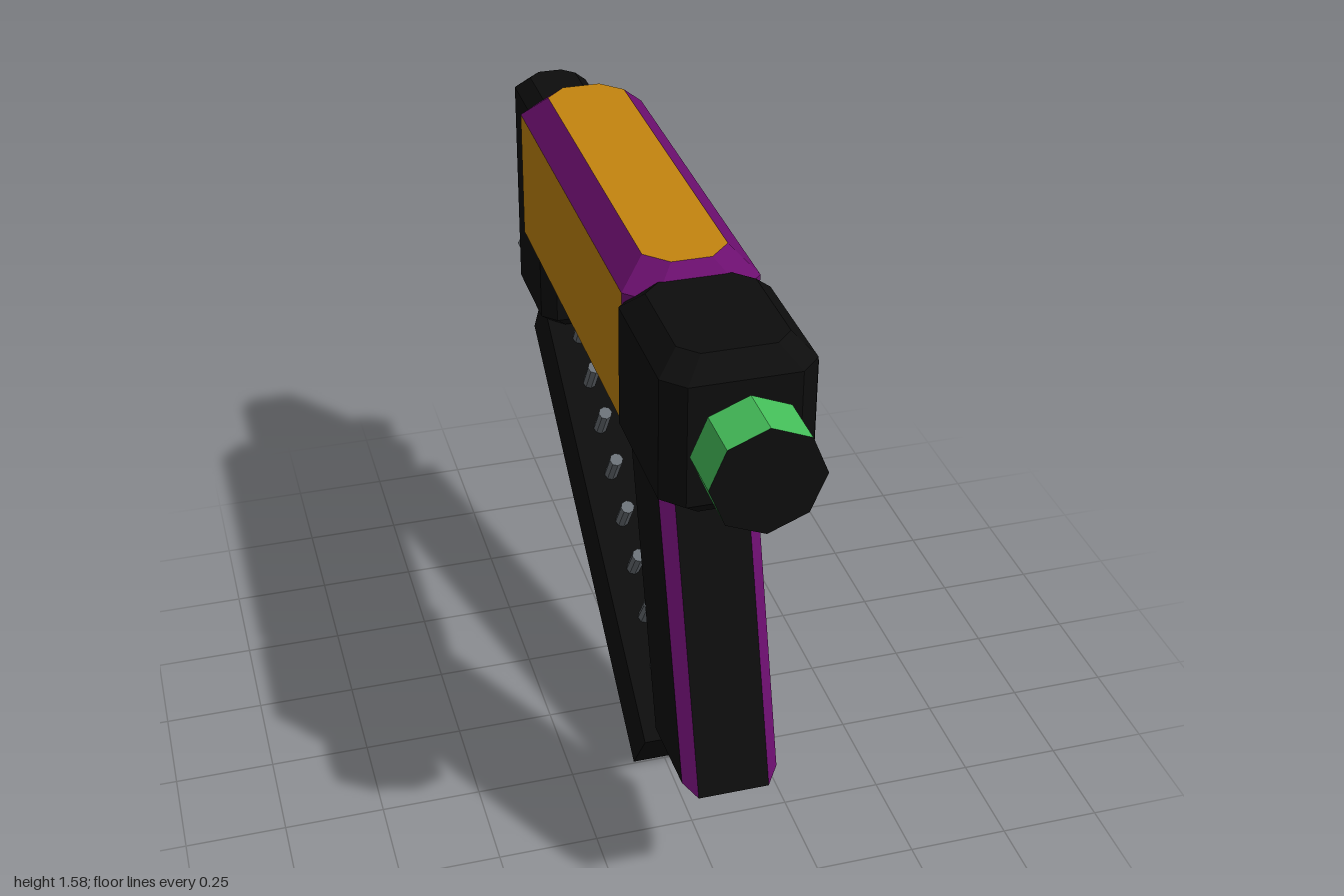
import * as THREE from 'three';

const material = (name, color) => {
  const m = new THREE.MeshStandardMaterial({ color });
  m.name = name;
  return m;
};

// Skin a stack of equal-sized rings with flat faces and capped ends.
// isEdge(band, side) picks the second material; caps use the first.
function loft(rings, isEdge = () => false) {
  const lists = [[], []];
  const face = (list, pts) => {
    for (let i = 1; i < pts.length - 1; i++) {
      for (const p of [pts[0], pts[i], pts[i + 1]]) list.push(...p);
    }
  };
  for (let b = 0; b < rings.length - 1; b++) {
    const lo = rings[b], up = rings[b + 1], n = lo.length;
    for (let i = 0; i < n; i++) {
      const j = (i + 1) % n;
      face(lists[isEdge(b, i) ? 1 : 0], [lo[i], up[i], up[j], lo[j]]);
    }
  }
  face(lists[0], rings[0]);
  face(lists[0], [...rings[rings.length - 1]].reverse());
  const geo = new THREE.BufferGeometry();
  geo.setAttribute('position', new THREE.Float32BufferAttribute([...lists[0], ...lists[1]], 3));
  geo.addGroup(0, lists[0].length / 3, 0);
  geo.addGroup(lists[0].length / 3, lists[1].length / 3, 1);
  geo.computeVertexNormals();
  return geo;
}

// Octagonal outline at height y: half sizes hx, hz and corner cut c
const octagon = (y, hx, hz, c) => [
  [hx, y, -hz + c], [hx, y, hz - c], [hx - c, y, hz], [-hx + c, y, hz],
  [-hx, y, hz - c], [-hx, y, -hz + c], [-hx + c, y, -hz], [hx - c, y, -hz],
];

// Box with every edge chamfered by c
function chamferBox(w, h, d, c) {
  const x = w / 2, y = h / 2, z = d / 2;
  return loft([
    octagon(-y, x - c, z - c, c * 0.85),
    octagon(-y + c, x, z, c),
    octagon(y - c, x, z, c),
    octagon(y, x - c, z - c, c * 0.85),
  ], (band, side) => band !== 1 || side % 2 === 1);
}

export function createModel() {
  const orange = material('orange', 0xc4850f);
  const purple = material('purple', 0x6b0f6e);
  const black = material('black', 0x0d0d0d);
  const green = material('green', 0x45bf5a);
  const grey = material('grey', 0x6a7076);

  const model = new THREE.Group();
  model.name = 'toyBlaster';
  const core = new THREE.Group();
  core.name = 'core';
  core.position.x = -0.0075;
  model.add(core);

  const add = (name, geo, mat, x, y, z, parent = core) => {
    const mesh = new THREE.Mesh(geo, mat);
    mesh.name = name;
    mesh.position.set(x, y, z);
    parent.add(mesh);
    return mesh;
  };
  const box = (w, h, d) => new THREE.BoxGeometry(w, h, d);
  const prism = (r, l, sides, turn = 0) =>
    new THREE.CylinderGeometry(r, r, l, sides).toNonIndexed().rotateY(turn).rotateX(Math.PI / 2);
  const flat = (geo) => { geo.computeVertexNormals(); return geo; };

  // Main body and front shroud
  add('body', chamferBox(0.316, 0.45, 1.09, 0.06), [orange, purple], 0, 1.365, -0.035);
  add('frontShroud', chamferBox(0.345, 0.39, 0.41, 0.048), [black, black], 0, 1.365, 0.635);
  for (let i = 0; i < 4; i++) {
    add('shroudRib', box(0.02, 0.25, 0.042), black, 0.172, 1.365, 0.455 + i * 0.098);
  }

  // Muzzle ring: green sides with dark ends
  const ring = new THREE.CylinderGeometry(0.128, 0.128, 0.13, 8).rotateX(Math.PI / 2);
  const ringFlat = ring.toNonIndexed();
  ring.groups.forEach((g) => ringFlat.addGroup(g.start, g.count, g.materialIndex));
  add('muzzleRing', flat(ringFlat), [green, black, black], 0, 1.365, 0.935);

  // Grip: slanted block whose side faces have a bevelled border
  const gripRing = (x, su, sv) => [[1, -1], [-1, -1], [-1, 1], [1, 1]].map(([u, v]) => [
    x, 0.01 * u * su - 0.37 * v * sv, 0.1375 * u * su + 0.1175 * v * sv,
  ]);
  const grip = loft([
    gripRing(-0.115, 0.8, 0.93), gripRing(-0.085, 1, 1),
    gripRing(0.085, 1, 1), gripRing(0.115, 0.8, 0.93),
  ], (band) => band !== 1);
  add('grip', grip, [black, purple], 0, 0.761, 0.589);

  // Trigger and guard
  add('guardBar', box(0.07, 0.035, 0.36), black, 0, 0.947, 0.25);
  add('guardPost', box(0.07, 0.21, 0.035), black, 0, 1.035, 0.0875);
  add('trigger', box(0.03, 0.14, 0.036), grey, 0, 1.036, 0.335);

  // Rear upright and hinge bolt
  add('stockUpright', chamferBox(0.195, 0.64, 0.32, 0.036), [black, black], 0, 1.17, -0.74);
  add('hingeBolt', flat(prism(0.075, 0.14, 6, Math.PI / 6 + Math.PI / 3)), grey, 0, 0.915, -0.93);

  // Folding arm: local +z runs down to the front end, pegs rise along local +y
  const arm = new THREE.Group();
  arm.name = 'foldingArm';
  arm.position.set(0, 0.453, -0.229);
  arm.rotation.x = Math.atan2(0.574, 0.819);
  core.add(arm);
  add('armBeam', box(0.15, 0.19, 1.289), black, 0, 0, 0, arm);
  for (let i = 0; i < 9; i++) {
    const peg = new THREE.CylinderGeometry(0.018, 0.018, 0.1, 8).toNonIndexed();
    add('peg', flat(peg), grey, 0, 0.143, 0.585 - i * 0.136, arm);
  }
  return model;
}
